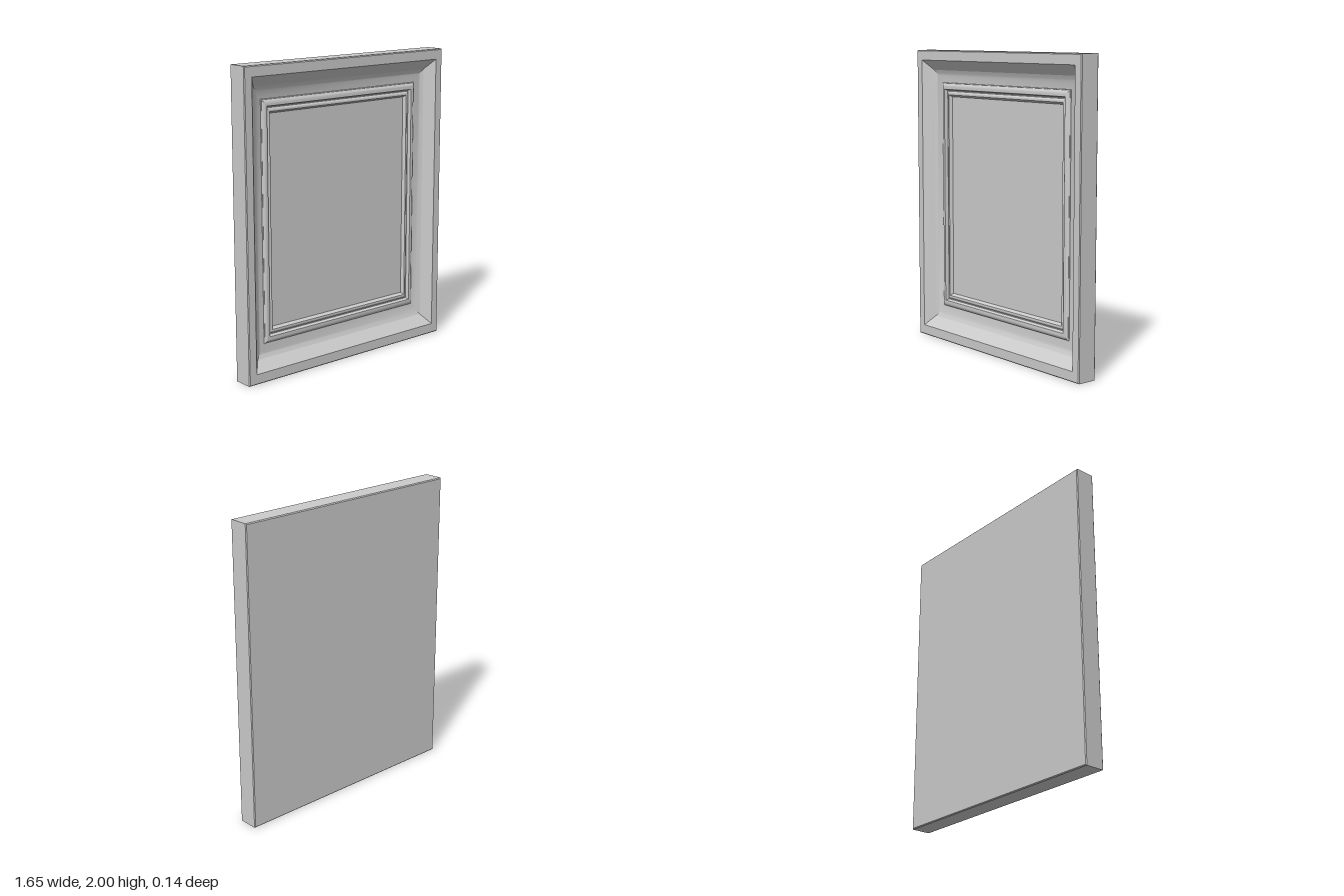
import * as THREE from 'three';
import { toCreasedNormals } from 'three/addons/utils/BufferGeometryUtils.js';

const HALF_W = 0.825, HALF_H = 1, FACE = 0.07, BEVEL = 0.006;

// Sweeps a profile of [fraction of half size, z] points around the rectangle, mitred at the corners.
function rectangularSweep(name, profile) {
  const points = profile.map(([s, z]) => new THREE.Vector2(s * Math.SQRT2, z));
  const geometry = new THREE.LatheGeometry(points, 4, Math.PI / 4);
  geometry.rotateX(Math.PI / 2);
  geometry.scale(HALF_W, HALF_H, 1);
  geometry.translate(0, HALF_H, 0);
  const mesh = new THREE.Mesh(
    toCreasedNormals(geometry, THREE.MathUtils.degToRad(30)),
    new THREE.MeshStandardMaterial({ color: 0xcccccc })
  );
  mesh.name = name;
  return mesh;
}

// Rounded stretch of profile between two points, pulled towards a control point.
function curve(from, control, to, steps = 6) {
  const v = (p) => new THREE.Vector2(...p);
  return new THREE.QuadraticBezierCurve(v(from), v(control), v(to))
    .getPoints(steps).map((p) => [p.x, p.y]);
}

export function createModel() {
  const group = new THREE.Group();
  group.name = 'framedPanel';

  // Flat back, outer edges with fine bevels, and the flat front rim
  group.add(rectangularSweep('outerFrame', [
    [0, -FACE], [1 - BEVEL, -FACE], [1, -FACE + BEVEL],
    [1, FACE - BEVEL], [1 - BEVEL, FACE], [0.932, FACE],
  ]));

  // Steep slope into the recess
  group.add(rectangularSweep('recessBevel', [[0.932, FACE], [0.865, 0.008]]));

  // Gently hollowed border
  group.add(rectangularSweep('recessBorder',
    curve([0.865, 0.008], [0.825, -0.012], [0.78, -0.018])));

  // Raised rounded moulding, a narrow groove and a small inner bead
  group.add(rectangularSweep('moulding', [
    [0.78, -0.018], [0.778, -0.011],
    ...curve([0.776, -0.011], [0.762, 0.002], [0.742, 0.002]),
    [0.736, 0.001], [0.728, -0.022], [0.722, -0.022],
    ...curve([0.72, -0.02], [0.713, -0.012], [0.704, -0.012], 4),
    [0.698, -0.014], [0.685, -0.036],
  ]));

  // Sunken flat centre panel
  group.add(rectangularSweep('centrePanel', [[0.685, -0.036], [0, -0.036]]));

  return group;
}
